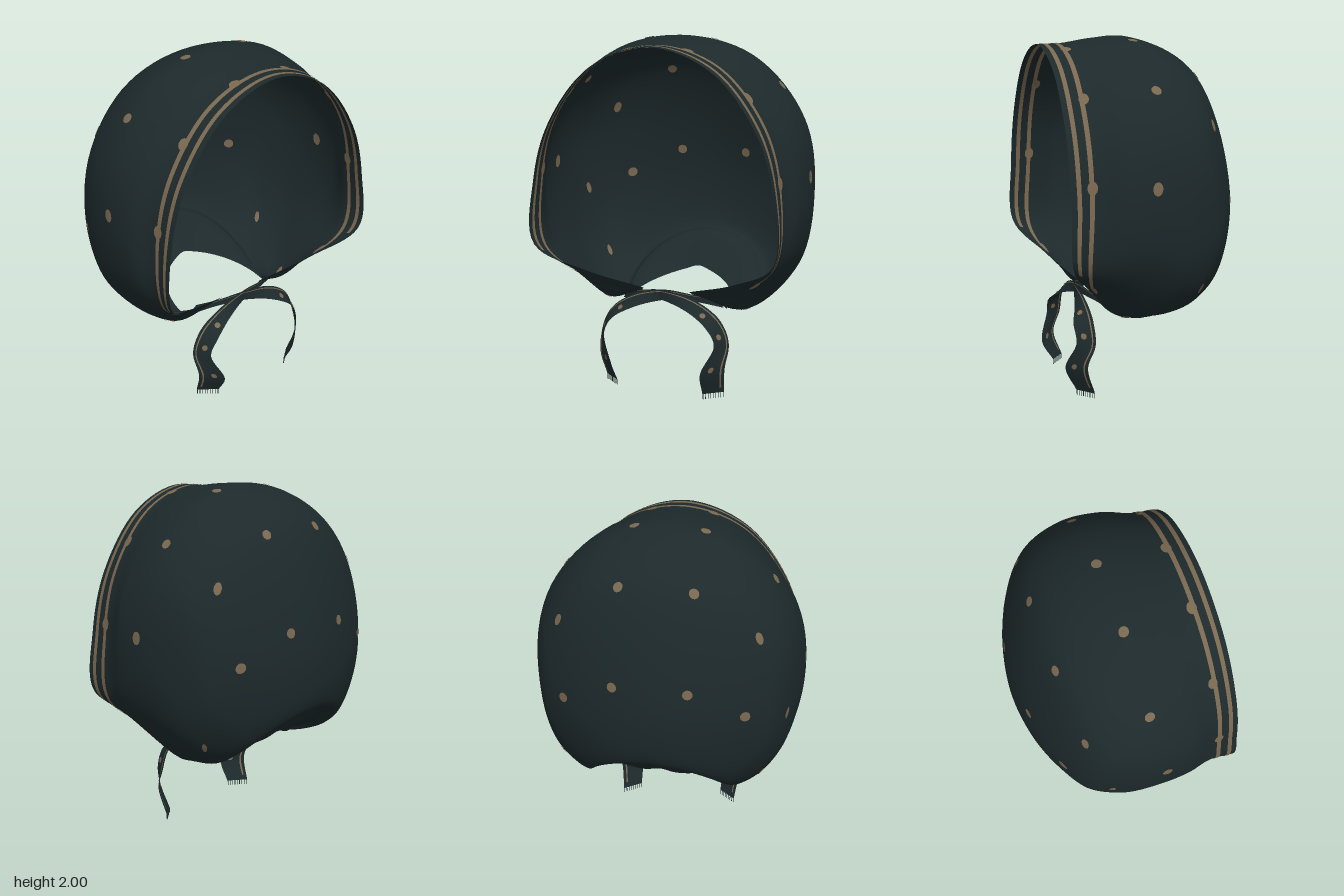
import * as THREE from 'three';
import { ParametricGeometry } from 'three/addons/geometries/ParametricGeometry.js';

const V = (x, y, z) => new THREE.Vector3(x, y, z);

// Half hoops over the head, from the chin (+x side) up to the centre line.
// They run from the face edge, over the crown, to the nape.
const HOOPS = [
  [[.14, .58, .29], [.45, .68, .40], [.705, .84, .535], [.70, 1.2, .54], [.60, 1.53, .54], [.35, 1.84, .54], [0, 1.96, .54]],
  [[.16, .56, .27], [.42, .60, .32], [.68, .80, .40], [.71, 1.2, .39], [.62, 1.55, .39], [.36, 1.86, .39], [0, 1.965, .39]],
  [[.18, .55, .26], [.42, .54, .27], [.705, .80, .26], [.762, 1.23, .25], [.665, 1.58, .24], [.385, 1.89, .23], [0, 1.99, .22]],
  [[.20, .54, .24], [.42, .49, .20], [.71, .79, .10], [.772, 1.22, .04], [.685, 1.59, .01], [.40, 1.90, 0], [0, 1.995, .01]],
  [[.24, .52, .22], [.44, .47, .09], [.67, .71, -.09], [.73, 1.10, -.16], [.665, 1.45, -.22], [.41, 1.73, -.28], [0, 1.825, -.32]],
  [[.27, .50, .19], [.42, .47, .03], [.56, .60, -.19], [.62, .86, -.31], [.55, 1.04, -.39], [.33, 1.12, -.49], [0, 1.15, -.543]],
  [[.30, .48, .16], [.37, .46, 0], [.42, .51, -.18], [.40, .60, -.32], [.31, .70, -.42], [.17, .77, -.48], [0, .795, -.5]],
].map(h => h.map(p => V(...p)));
// Nape edge, curling in under the back of the head, with a hollow above it
const nape = Array.from({ length: 7 }, (_, k) => {
  const a = k / 6 * Math.PI / 2;
  return V(.31 * Math.cos(a), .46 + .14 * k / 6, .14 - .38 * Math.sin(a));
});
const hollow = nape.map((p, k) => {
  const q = HOOPS[6][k].clone().lerp(p, .3);
  q.y += .045 * Math.sin(k / 6 * Math.PI / 2);
  return q;
});
HOOPS.push(hollow, nape);
const SPANS = HOOPS.length - 1;
const hoopCurves = HOOPS.map(h => new THREE.CatmullRomCurve3(
  [...h, ...h.slice(0, 6).reverse().map(p => V(-p.x, p.y, p.z))]));

const clamp = v => Math.min(1, Math.max(0, v));
const cloth = (s, t) =>
  new THREE.CatmullRomCurve3(hoopCurves.map(c => c.getPoint(clamp(s)))).getPoint(clamp(t));

// Local tangents and normal of a surface function
function frame(f, s, t) {
  const e = .004;
  const s0 = Math.max(0, s - e), s1 = Math.min(1, s + e), t0 = Math.max(0, t - e), t1 = Math.min(1, t + e);
  const ds = f(s1, t).sub(f(s0, t)).divideScalar(s1 - s0);
  const dt = f(s, t1).sub(f(s, t0)).divideScalar(t1 - t0);
  return { ds: ds.length(), dt: dt.length(), n: ds.clone().cross(dt).normalize() };
}

function addSurface(group, name, material, f, nu, nv) {
  const geometry = new ParametricGeometry((u, v, out) => out.copy(f(u, v)), nu, nv);
  const mesh = new THREE.Mesh(geometry, material);
  mesh.name = name;
  group.add(mesh);
}

// Painted stripe along a surface, laid on both faces
function addStripe(group, name, mat, f, s0, s1, t0, t1, n) {
  for (const side of [-1, 1]) {
    addSurface(group, name, mat, (u, v) => {
      const s = s0 + (s1 - s0) * u, t = t0 + (t1 - t0) * v;
      return f(s, t).addScaledVector(frame(f, s, t).n, side * .003);
    }, n, 2);
  }
}

// Painted dot on a surface, laid on both faces; stretch lengthens it along s
function addDot(group, name, mat, f, s, t, r, stretch = 1) {
  const fr = frame(f, s, t);
  for (const side of [-1, 1]) {
    addSurface(group, name, mat, (u, v) => {
      const a = u * Math.PI * 2, q = r * (.02 + .98 * v);
      return f(clamp(s + stretch * q * Math.cos(a) / fr.ds), clamp(t + q * Math.sin(a) / fr.dt))
        .addScaledVector(fr.n, side * .004);
    }, 14, 3);
  }
}

export function createModel() {
  const fabric = new THREE.MeshStandardMaterial({ color: 0x1d292b, side: THREE.DoubleSide });
  fabric.name = 'dark green fabric';
  const print = new THREE.MeshStandardMaterial({ color: 0x7a6850, side: THREE.DoubleSide });
  print.name = 'tan print';

  const model = new THREE.Group();
  model.name = 'headscarf';

  // Hood
  const hood = new THREE.Group();
  hood.name = 'hood';
  model.add(hood);
  addSurface(hood, 'hoodCloth', fabric, cloth, 96, 80);
  addStripe(hood, 'outerStripe', print, cloth, .155, .845, .2 / SPANS, .36 / SPANS, 96);
  addStripe(hood, 'innerStripe', print, cloth, .12, .88, .64 / SPANS, .81 / SPANS, 96);

  // Dots are placed at the nearest spot on the cloth: x, y, z, stretch
  const samples = [];
  for (let i = 0; i <= 150; i++) for (let j = 0; j <= 150; j++) {
    const s = i / 300, t = j / 150;
    samples.push({ s, t, p: cloth(s, t) });
  }
  const dots = [
    [.21, 1.79, -.33, 1], [.56, 1.53, -.31, 1.1], [.21, 1.29, -.54, 1], [.49, 1.11, -.39, 1.1],
    [.59, 1.74, .05, 1], [.20, 1.97, .05, 1], [.78, 1.25, .10, 1.3],
    [.40, .54, .15, 1.8], [.55, .68, -.19, 1.6],
    [.18, 1.93, .42, 1.2], [.52, 1.70, .42, 1.2], [.69, 1.26, .43, 1.3], [.55, .68, .37, 2.2],
  ];
  const nearest = p => samples.reduce((a, b) =>
    (b.p.distanceToSquared(p) < a.p.distanceToSquared(p) ? b : a));
  for (const [x, y, z, stretch] of dots) {
    const { s, t } = nearest(V(x, y, z));
    for (const side of [s, 1 - s]) addDot(hood, 'dot', print, cloth, side, t, stretch > 1.5 ? .02 : .028, stretch);
  }
  // Single dot on the right side only
  const single = nearest(V(.71, 1.04, -.2));
  addDot(hood, 'dot', print, cloth, 1 - single.s, single.t, .028);

  // Ties crossing under the chin and hanging down with a fringe
  for (const m of [1, -1]) {
    const tie = new THREE.Group();
    tie.name = m > 0 ? 'leftTie' : 'rightTie';
    model.add(tie);
    const lift = m > 0 ? 0 : .02, dz = m > 0 ? .006 : -.006;
    const path = new THREE.CatmullRomCurve3([
      V(-.29, .51, .20), V(-.15, .545, .28), V(0, .56, .33 + dz), V(.18, .515, .355), V(.31, .43, .37),
      V(.36, .32, .37), V(.325, .18, .415), V(.31, .03 + lift, .36)].map(p => V(p.x * m, p.y, p.z)));
    const widths = new THREE.CatmullRomCurve3([
      V(.02, .03, .01), V(0, .02, 0), V(0, .03, 0), V(.012, .03, -.025), V(.025, .012, -.05),
      V(.027, 0, -.048), V(.055, .01, -.05), V(.05, 0, -.04)].map(p => V(p.x * m, p.y, p.z)));
    const ribbon = (s, t) => path.getPoint(s).addScaledVector(widths.getPoint(s), 2 * t - 1);
    addSurface(tie, 'ribbon', fabric, ribbon, 60, 4);
    addStripe(tie, 'ribbonStripe', print, ribbon, .05, .97, .8, .87, 50);
    for (const s of [.5, .66, .85]) addDot(tie, 'ribbonDot', print, ribbon, s, .4, .017);

    // Fringe threads
    for (let k = 0; k < 9; k++) {
      const thread = new THREE.Mesh(new THREE.BoxGeometry(.003, .032, .003), fabric);
      thread.name = 'fringeThread';
      thread.position.copy(ribbon(1, (k + .3) / 8.6));
      thread.position.y -= .014;
      tie.add(thread);
    }
  }
  return model;
}
